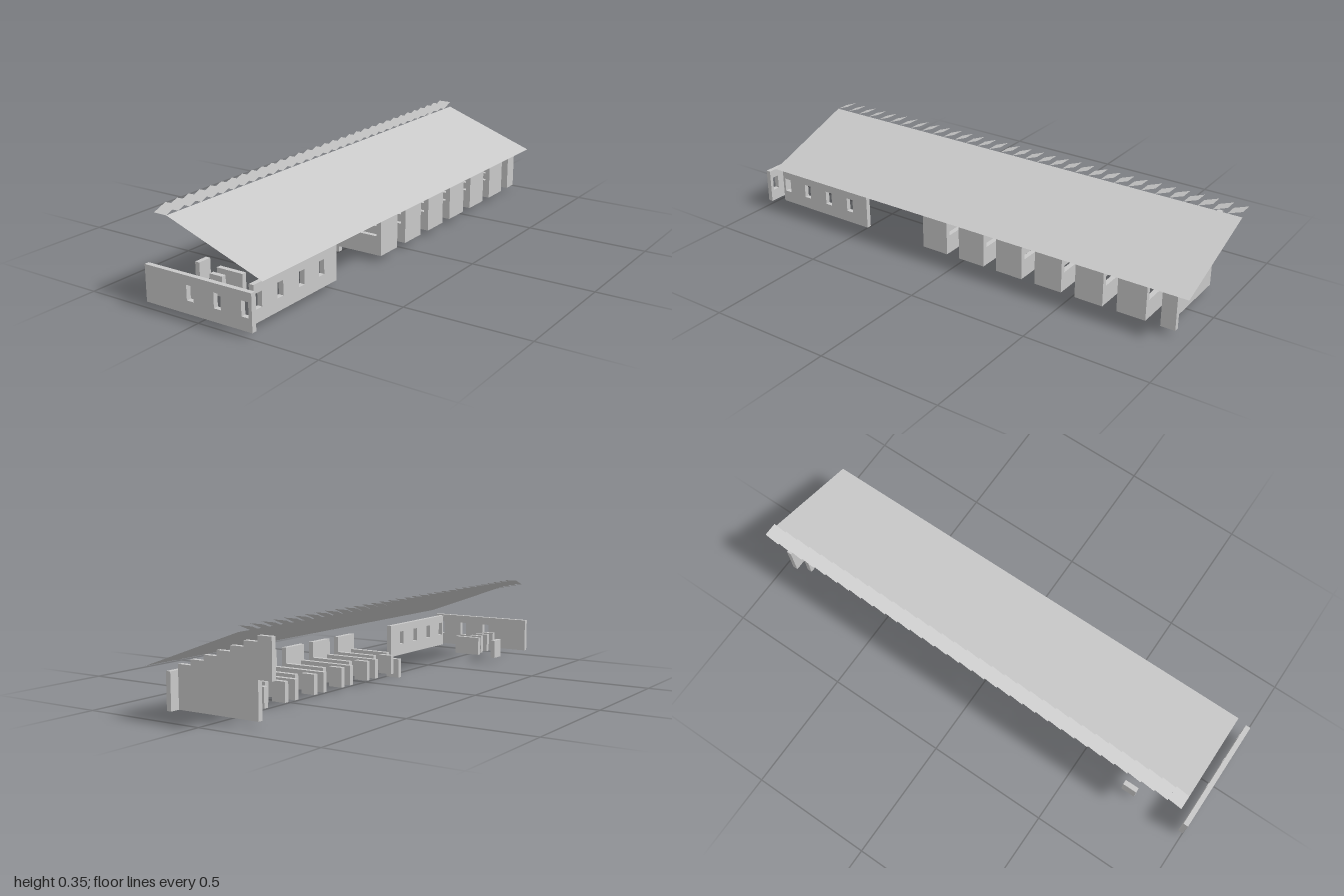
import * as THREE from 'three';

const M = 0.0588;          // plan module
const T = 0.02;            // wall thickness
const Y0 = 0.023, LOW = 0.1, TOP = 0.163;
const HALF = 4 * M;

const grey = new THREE.MeshStandardMaterial({ color: 0xc8c8c8 });
grey.name = 'plainGrey';
const greySheet = new THREE.MeshStandardMaterial({ color: 0xc8c8c8, side: THREE.DoubleSide });
greySheet.name = 'plainGreySheet';

// Box given by its minimum and maximum on each axis
function block(name, x0, x1, y0, y1, z0, z1) {
  const mesh = new THREE.Mesh(new THREE.BoxGeometry(x1 - x0, y1 - y0, z1 - z0), grey);
  mesh.position.set((x0 + x1) / 2, (y0 + y1) / 2, (z0 + z1) / 2);
  mesh.name = name;
  return mesh;
}

// Upright wall outline with rectangular window holes, extruded by the wall thickness
function wall(name, points, windows = []) {
  const shape = new THREE.Shape(points.map(([x, y]) => new THREE.Vector2(x, y)));
  for (const [a, b] of windows) {
    shape.holes.push(new THREE.Path([[a, 0.072], [a, 0.129], [b, 0.129], [b, 0.072]]
      .map(([x, y]) => new THREE.Vector2(x, y))));
  }
  const mesh = new THREE.Mesh(
    new THREE.ExtrudeGeometry(shape, { depth: T, bevelEnabled: false }), grey);
  mesh.name = name;
  return mesh;
}

// Thin sloping rectangle from four corners
function sheet(name, a, b, c, d) {
  const geo = new THREE.BufferGeometry();
  geo.setAttribute('position', new THREE.Float32BufferAttribute([...a, ...b, ...c, ...d], 3));
  geo.setIndex([0, 1, 2, 0, 2, 3]);
  geo.computeVertexNormals();
  const mesh = new THREE.Mesh(geo, greySheet);
  mesh.name = name;
  return mesh;
}

export function createModel() {
  const model = new THREE.Group();
  model.name = 'longShed';
  const inner = 3 * M, outer = inner + T;

  // Front wall with three windows
  const front = wall('frontWall',
    [[-HALF, Y0], [HALF, Y0], [HALF, TOP], [-HALF, TOP]],
    [[-0.047, -0.016], [0.073, 0.103], [0.191, 0.221]]);
  front.position.z = 1 - T;
  model.add(front);

  // Front part of the side wall with four windows
  const zA = 1 - 9 * M, zB = 1 - M;
  const side = wall('sideWall',
    [[-zB, Y0], [-zA, Y0], [-zA, TOP], [-zB, TOP]],
    [0.915, 0.8, 0.68, 0.563].map((z) => [-z - 0.016, -z + 0.016]));
  side.rotation.y = Math.PI / 2;
  side.position.x = inner;
  model.add(side);

  // Low partitions in the front room
  model.add(block('lowPanel', -2 * M, 0, Y0, LOW, 0.745, 0.765));
  model.add(block('lowSidePanel', -0.22, -0.2, Y0, LOW, 0.706, 0.765));
  for (let i = 0; i < 3; i++) {
    const z = 0.804 + i * M;
    model.add(block('frontDivider', -0.1, -0.043, Y0, LOW, z, z + T));
  }

  // Six repeated bays: pier, low cross walls and two dividers
  for (let i = 0; i < 6; i++) {
    const bay = new THREE.Group();
    bay.name = 'bay';
    const z = 1 - 14 * M - i * 3 * M;
    const drop = i === 0 ? Y0 : 0;
    bay.add(block('pier', inner, outer, Y0, TOP, z - 2 * M, z));
    bay.add(block('frontLowWall', 0, inner, Y0, LOW, z - T, z));
    bay.add(block('backLowWall', 0, inner, Y0, LOW, z - 2 * M, z - 2 * M + T));
    bay.add(block('divider', -M, 0, Y0, LOW, z - M - T, z - M));
    bay.add(block('divider', -M, 0, Y0 - drop, LOW - drop, z - T, z));
    model.add(bay);
  }

  // Back wall with a stepped top and a notch in the lower corner
  const outline = [[-inner, Y0], [inner, Y0]];
  const rise = (0.311 - TOP) / 7;
  for (let i = 0; i < 7; i++) {
    const x = inner - i * M, y = TOP + (i + 1) * rise;
    outline.push([x, y], [x - M, y]);
  }
  outline.push([-HALF, TOP], [-inner, TOP]);
  const back = wall('steppedBackWall', outline);
  back.position.z = -0.902;
  model.add(back);
  model.add(block('backPier', inner, outer, Y0, TOP, -0.941, -0.882));

  // Sloping roof
  model.add(sheet('roof', [-0.178, 0.333, zB], [HALF, 0.185, zB],
    [HALF, 0.185, -1], [-0.178, 0.333, -1]));

  // Row of tilted slats along the ridge
  const count = 33, pitch = (zB + 1) / count;
  for (let i = 0; i < count; i++) {
    const z = zB - i * pitch;
    model.add(sheet('ridgeSlat', [-HALF, 0.333, z], [-0.178, 0.333, z],
      [-0.178, 0.355, z - pitch], [-HALF, 0.355, z - pitch]));
  }
  return model;
}
